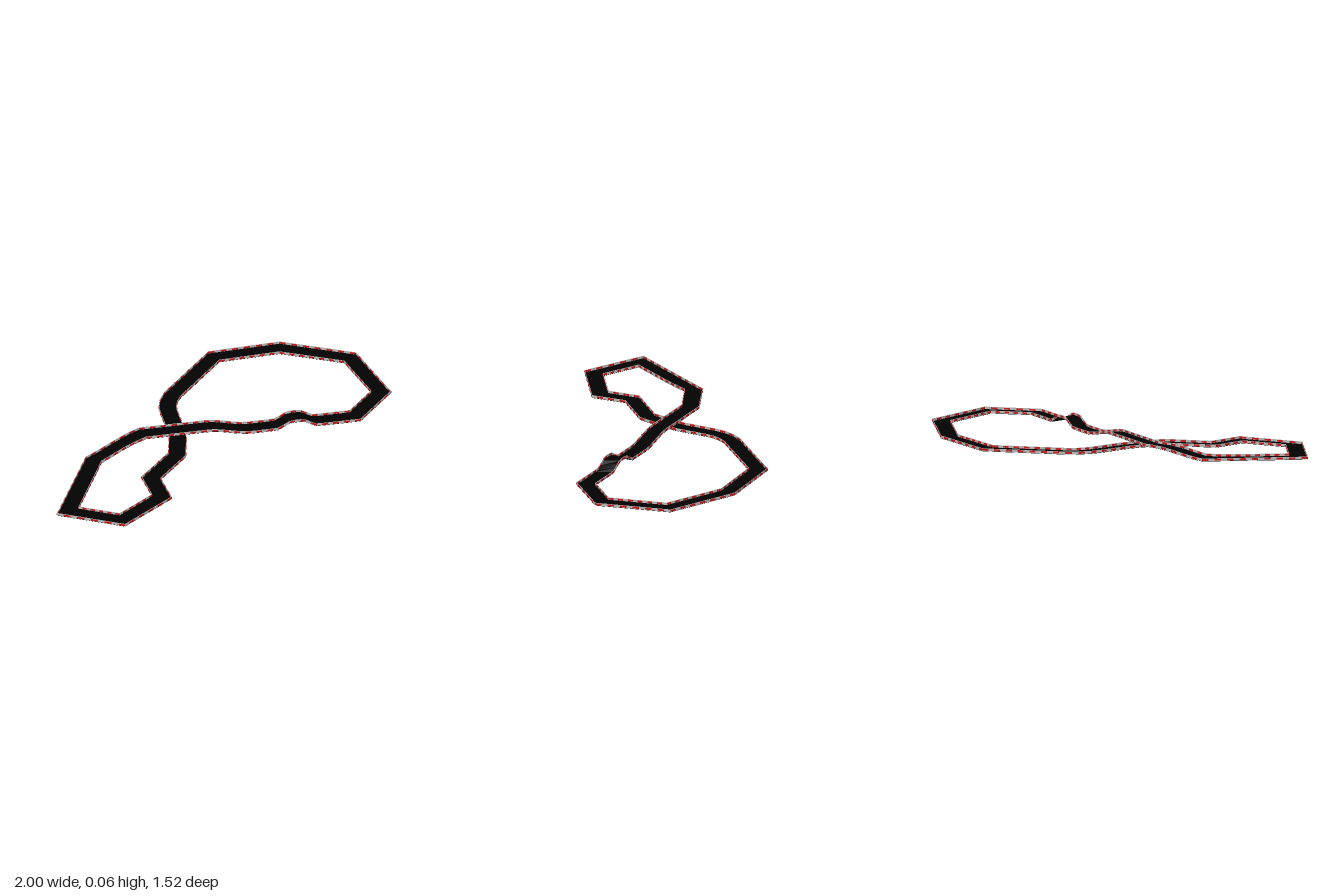
import * as THREE from 'three';

// Centre line corners (x, z) of the closed figure-eight circuit
const PATH = [
  [0.155, -0.705], [0.515, -0.71], [0.86, -0.53], [0.945, -0.175], [0.76, 0.015],
  [-0.395, -0.02], [-0.695, 0.115], [-0.938, 0.555], [-0.675, 0.703], [-0.42, 0.535],
  [-0.435, 0.35], [-0.25, 0.165], [-0.21, 0.01], [-0.2, -0.06], [-0.2, -0.24],
  [-0.194, -0.295], [-0.174, -0.35], [-0.14, -0.402], [-0.075, -0.468],
].map(([x, z]) => new THREE.Vector2(x, z));
const RAISED = [4, 5, 6]; // stretches that carry the bridge and the hump
const HALF = 0.046, DASH = 0.03;

// Rise of the bridge and the hump along x
function rise(x) {
  const s = THREE.MathUtils.smoothstep;
  const bridge = s(x, -0.75, -0.43) * (1 - s(x, -0.05, 0.19));
  const hump = s(x, 0.32, 0.41) * (1 - s(x, 0.46, 0.55));
  return 0.04 * Math.max(bridge, hump);
}

// Sideways vector at each corner so that the edges meet in a mitre
function mitre(i) {
  const n = PATH.length, p = PATH[i];
  const a = p.clone().sub(PATH[(i + n - 1) % n]).normalize();
  const b = PATH[(i + 1) % n].clone().sub(p).normalize();
  const na = new THREE.Vector2(a.y, -a.x), nb = new THREE.Vector2(b.y, -b.x);
  const m = na.clone().add(nb).normalize();
  return m.multiplyScalar(1 / m.dot(na));
}

// Evenly spaced stations along the circuit
function makeStations() {
  const stations = [];
  PATH.forEach((p, i) => {
    const j = (i + 1) % PATH.length, q = PATH[j];
    const m0 = mitre(i), m1 = mitre(j);
    const count = Math.max(1, Math.round(p.distanceTo(q) / DASH));
    for (let k = 0; k < count; k++) {
      stations.push({
        pos: p.clone().lerp(q, k / count),
        side: m0.clone().lerp(m1, k / count),
        raised: RAISED.includes(i),
      });
    }
  });
  return stations;
}

// Rectangular strip along the stations; dashed strips skip every other
// stretch and get closed ends
function strip(stations, dashed, o0, o1, y0, y1) {
  const v = [];
  const section = [[o0, y0], [o1, y0], [o1, y1], [o0, y1]];
  const at = (s, [o, y]) => {
    const x = s.pos.x + s.side.x * o;
    return [x, y + (s.raised ? rise(x) : 0), s.pos.y + s.side.y * o];
  };
  const quad = (a, b, c, d) => v.push(...a, ...b, ...c, ...a, ...c, ...d);
  stations.forEach((s, i) => {
    if (dashed && i % 2) return;
    const t = stations[(i + 1) % stations.length];
    const p = section.map((c) => at(s, c)), q = section.map((c) => at(t, c));
    for (let k = 0; k < 4; k++) {
      const n = (k + 1) % 4;
      quad(p[k], p[n], q[n], q[k]);
    }
    if (dashed) {
      quad(p[3], p[2], p[1], p[0]);
      quad(q[0], q[1], q[2], q[3]);
    }
  });
  const g = new THREE.BufferGeometry();
  g.setAttribute('position', new THREE.Float32BufferAttribute(v, 3));
  g.computeVertexNormals();
  return g;
}

export function createModel() {
  const group = new THREE.Group();
  group.name = 'raceTrack';
  const material = (name, color) => {
    const m = new THREE.MeshStandardMaterial({ color });
    m.name = name;
    return m;
  };
  const asphalt = material('asphalt', 0x020202);
  const red = material('markerRed', 0xc81414);
  const grey = material('railGrey', 0xb8b8b8);
  const stations = makeStations();
  const add = (name, geometry, mat) => {
    const mesh = new THREE.Mesh(geometry, mat);
    mesh.name = name;
    group.add(mesh);
  };

  // Thin road slab
  add('road', strip(stations, false, -HALF, HALF, 0, 0.003), asphalt);

  // Guard rail along both edges, with red marker plates through it that
  // stand out beyond the road
  for (const [side, s] of [['right', -1], ['left', 1]]) {
    const across = (a, b) => [s * a, s * b].sort((m, n) => m - n);
    add(side + 'Rail', strip(stations, false, ...across(HALF - 0.001, HALF + 0.001), 0.002, 0.0165), grey);
    add(side + 'Markers', strip(stations, true, ...across(HALF - 0.002, HALF + 0.003), 0.0045, 0.0145), red);
  }
  return group;
}
